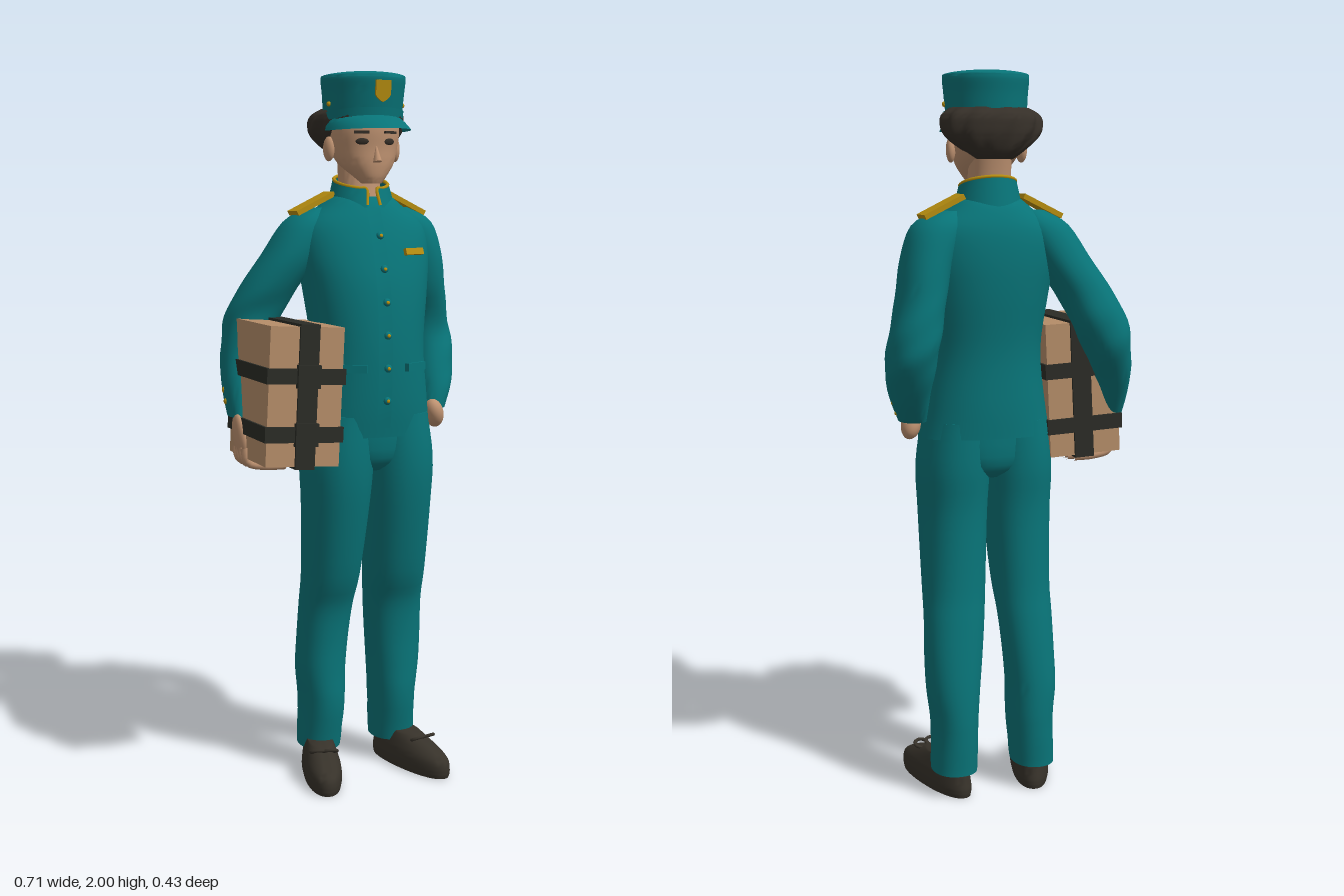
import * as THREE from 'three';
import { mergeVertices, toCreasedNormals } from 'three/addons/utils/BufferGeometryUtils.js';

const mat = (name, color, side = THREE.FrontSide) => {
  const m = new THREE.MeshStandardMaterial({ color, side });
  m.name = name;
  return m;
};

// Grid of points (u around, v up) turned into a smooth surface
function surface(nu, nv, f, crease = 1) {
  const pos = [], idx = [];
  for (let i = 0; i <= nu; i++) for (let j = 0; j <= nv; j++) pos.push(...f(i, j));
  for (let i = 0; i < nu; i++) for (let j = 0; j < nv; j++) {
    const a = i * (nv + 1) + j, c = a + nv + 1;
    idx.push(a, a + 1, c, c, a + 1, c + 1);
  }
  const g = new THREE.BufferGeometry();
  g.setAttribute('position', new THREE.Float32BufferAttribute(pos, 3));
  g.setIndex(idx);
  return toCreasedNormals(mergeVertices(g, 1e-5), crease);
}

// Ring = [y, xMin, xMax, zMin, zMax, slope]; smooth interpolation between rings
function ringAt(rings, t) {
  const s = t * (rings.length - 1), i = Math.min(Math.floor(s), rings.length - 2), f = s - i;
  const p = k => rings[Math.max(0, Math.min(rings.length - 1, k))];
  return [0, 1, 2, 3, 4, 5].map(c => {
    const [a, b, d, e] = [p(i - 1), p(i), p(i + 1), p(i + 2)].map(r => r[c] ?? 0);
    return b + 0.5 * f * (d - a + f * (2 * a - 5 * b + 4 * d - e + f * (3 * (b - d) + e - a)));
  });
}

function loft(rings, { pow = 2.2, n = 36, fold = () => 0 } = {}) {
  const nv = (rings.length - 1) * 4;
  const e = v => Math.sign(v) * Math.abs(v) ** (2 / pow);
  return surface(n, nv + 2, (i, j) => {
    const [y, x0, x1, z0, z1, s] = ringAt(rings, Math.max(0, Math.min(nv, j - 1)) / nv);
    const a = (i % n) / n * Math.PI * 2;
    const k = j === 0 || j === nv + 2 ? 0 : 1 + fold(a, y);
    const dz = k * (z1 - z0) / 2 * e(Math.sin(a));
    return [(x0 + x1) / 2 + k * (x1 - x0) / 2 * e(Math.cos(a)), y + s * dz, (z0 + z1) / 2 + dz];
  });
}

// Front surface depth of a loft at (x, y)
function frontZ(rings, x, y, pow = 2.2) {
  let lo = 0, hi = 1;
  for (let i = 0; i < 24; i++) {
    const m = (lo + hi) / 2;
    if (ringAt(rings, m)[0] < y) lo = m; else hi = m;
  }
  const [, x0, x1, z0, z1] = ringAt(rings, lo);
  const q = Math.min(1, Math.abs((x - (x0 + x1) / 2) / ((x1 - x0) / 2)));
  return (z0 + z1) / 2 + (z1 - z0) / 2 * (1 - q ** pow) ** (1 / pow);
}

export function createModel() {
  const root = new THREE.Group();
  root.name = 'uniformedCourier';
  const teal = mat('teal cloth', 0x087478, THREE.DoubleSide), gold = mat('gold', 0xb88f10);
  const skin = mat('skin', 0xbd9170), dark = mat('dark hair', 0x352f28);
  const leather = mat('shoe leather', 0x37322a), strap = mat('strap', 0x2b2c26);
  const card = mat('parcel paper', 0xb58d69);
  const CX = 0.048;

  const add = (name, g, m, p = [0, 0, 0], r = [0, 0, 0], s = [1, 1, 1], parent = root) => {
    const o = new THREE.Mesh(g, m);
    o.name = name;
    o.position.set(...p); o.rotation.set(...r); o.scale.set(...s);
    parent.add(o);
    return o;
  };
  const ball = new THREE.SphereGeometry(1, 20, 14);
  const box = (x, y, z) => new THREE.BoxGeometry(x, y, z);
  // Lay a part on the front of a lofted body
  const onFront = (rings, x, y, o, lift = 0) => {
    const d = 0.01, z = frontZ(rings, x, y);
    const nx = (frontZ(rings, x - d, y) - frontZ(rings, x + d, y)) / (2 * d);
    const ny = (frontZ(rings, x, y - d) - frontZ(rings, x, y + d)) / (2 * d);
    o.position.set(x, y, z + lift);
    o.lookAt(x + nx, y + ny, z + lift + 1);
  };

  // Trousers
  const creases = (a, y) => 0.02 * Math.sin(y * 75 + 2 * Math.sin(a)) * Math.max(0, 1 - y / 0.26);
  add('rightTrouserLeg', loft([[0.07, -0.128, -0.008, -0.175, -0.025], [0.2, -0.125, 0, -0.182, 0],
    [0.3, -0.134, 0.002, -0.18, 0.001], [0.4, -0.132, 0.01, -0.17, 0.002], [0.5, -0.13, 0.02, -0.157, 0.015],
    [0.6, -0.13, 0.03, -0.145, 0.055], [0.8, -0.137, 0.045, -0.138, 0.1], [0.93, -0.14, 0.055, -0.15, 0.115],
    [1.06, -0.12, 0.06, -0.15, 0.11]], { fold: creases }), teal);
  add('leftTrouserLeg', loft([[0.07, 0.1, 0.228, -0.175, -0.025], [0.2, 0.097, 0.224, -0.182, 0],
    [0.3, 0.09, 0.236, -0.18, 0.001], [0.4, 0.08, 0.24, -0.17, 0.002], [0.5, 0.07, 0.237, -0.157, 0.015],
    [0.6, 0.06, 0.234, -0.145, 0.055], [0.8, 0.048, 0.235, -0.138, 0.1], [0.93, 0.04, 0.238, -0.15, 0.115],
    [1.06, 0.035, 0.22, -0.15, 0.11]], { fold: creases }), teal);
  add('trouserSeat', loft([[0.9, 0, 0.1, -0.1, 0.06], [0.94, -0.08, 0.18, -0.145, 0.1],
    [1.05, -0.12, 0.215, -0.15, 0.11]]), teal);

  // Shoes, toes turned out
  const shoeGeo = loft([[0, -0.05, 0.05, -0.163, 0.16], [0.02, -0.054, 0.054, -0.166, 0.164],
    [0.05, -0.052, 0.052, -0.16, 0.155], [0.075, -0.045, 0.045, -0.155, 0.105], [0.1, -0.037, 0.037, -0.145, 0.03]]);
  for (const [side, x, turn] of [['right', -0.095, -0.25], ['left', 0.188, 0.25]]) {
    const shoe = new THREE.Group();
    shoe.name = side + 'Shoe';
    shoe.position.set(x, 0, -0.003);
    shoe.rotation.y = turn;
    root.add(shoe);
    add('upper', shoeGeo, leather, [0, 0, 0], [0, 0, 0], [1, 1, 1], shoe);
    for (const s of [-1, 1])
      add('laceLoop', new THREE.TorusGeometry(0.016, 0.005, 6, 14), leather, [s * 0.018, 0.095, 0.055], [1.1, 0, 0], [1.2, 1, 1], shoe);
  }

  // Jacket
  const torso = [[1.01, -0.137, 0.235, -0.168, 0.117, -0.06], [1.1, -0.122, 0.222, -0.17, 0.13],
    [1.25, -0.108, 0.208, -0.168, 0.135], [1.4, -0.125, 0.225, -0.185, 0.122], [1.5, -0.14, 0.238, -0.19, 0.097],
    [1.58, -0.13, 0.227, -0.182, 0.068], [1.635, -0.07, 0.165, -0.16, 0.04], [1.66, -0.04, 0.135, -0.14, 0.02]];
  add('jacketBody', loft(torso, { n: 48 }), teal);
  add('jacketPlacket', surface(1, 20, (i, j) => {
    const x = 0.062 - i * 0.04, y = 1.03 + j * 0.03;
    return [x, y, frontZ(torso, x, y) + 0.004];
  }), teal);
  for (let i = 0; i < 6; i++) {
    const y = 1.105 + i * 0.09;
    onFront(torso, CX, y, add('jacketButton', ball, teal, [0, 0, 0], [0, 0, 0], [0.011, 0.011, 0.008]), 0.005);
    onFront(torso, CX, y, add('buttonCentre', ball, gold, [0, 0, 0], [0, 0, 0], [0.005, 0.005, 0.003]), 0.012);
  }
  for (const s of [-1, 1])
    onFront(torso, CX + s * 0.093, 1.195, add('pocketFlap', box(0.08, 0.022, 0.012), teal), 0.002);
  onFront(torso, 0.15, 1.51, add('chestBar', box(0.07, 0.018, 0.01), gold), 0.004);

  // Sleeves
  const sleeveFold = (a, y) => 0.025 * Math.sin(y * 55 + 3 * a) * Math.exp(-(((y - 1.25) / 0.13) ** 2));
  add('leftSleeve', loft([[1.06, 0.222, 0.296, -0.085, 0.015], [1.13, 0.222, 0.328, -0.14, 0.005],
    [1.22, 0.217, 0.35, -0.195, -0.025], [1.3, 0.205, 0.342, -0.208, -0.04], [1.4, 0.185, 0.316, -0.195, -0.005],
    [1.5, 0.16, 0.298, -0.18, 0.01], [1.59, 0.12, 0.266, -0.158, 0], [1.63, 0.13, 0.198, -0.12, -0.04]], { fold: sleeveFold }), teal);
  add('rightSleeve', loft([[1.06, -0.348, -0.288, -0.1, 0], [1.15, -0.352, -0.262, -0.155, -0.02],
    [1.25, -0.338, -0.21, -0.208, -0.05], [1.33, -0.325, -0.17, -0.216, -0.05], [1.41, -0.288, -0.13, -0.2, -0.02],
    [1.5, -0.23, -0.07, -0.182, 0.005], [1.59, -0.17, -0.025, -0.158, 0], [1.63, -0.102, -0.035, -0.12, -0.04]], { fold: sleeveFold }), teal);
  for (let i = 0; i < 2; i++) {
    add('rightCuffButton', ball, gold, [-0.35, 1.1 + i * 0.03, -0.07 - i * 0.015], [0, 0, 0], [0.006, 0.009, 0.009]);
    add('leftCuffButton', ball, gold, [0.304 + i * 0.012, 1.085 + i * 0.03, -0.045 - i * 0.01], [0, 0, 0], [0.008, 0.007, 0.007]);
  }

  // Epaulettes
  for (const s of [-1, 1])
    add('epaulette', box(0.122, 0.014, 0.076), gold, [CX + s * 0.138, 1.641, -0.081], [0, 0, -s * 0.46]);

  // Standing collar, open at the front, with gold trim
  const collar = (u, v) => {
    const a = Math.PI / 2 + 0.22 + u * (Math.PI * 2 - 0.44), r = 0.095 - 0.018 * v;
    return [CX + r * Math.cos(a), 1.63 + v * (0.072 - 0.02 * Math.sin(a)), -0.056 + (r + 0.007) * Math.sin(a)];
  };
  add('collar', surface(36, 4, (i, j) => collar(i / 36, j / 4)), teal);
  const trim = [collar(0, 0.1)];
  for (let i = 0; i <= 24; i++) trim.push(collar(i / 24, 0.98));
  trim.push(collar(1, 0.1));
  add('collarTrim', new THREE.TubeGeometry(new THREE.CatmullRomCurve3(
    trim.map(p => new THREE.Vector3(CX + (p[0] - CX) * 0.96, p[1], -0.056 + (p[2] + 0.056) * 0.96))), 90, 0.005, 6), gold);

  // Neck and head
  add('neck', loft([[1.62, -0.015, 0.11, -0.125, 0.005], [1.7, -0.01, 0.105, -0.125, -0.01], [1.8, -0.01, 0.105, -0.14, -0.02]]), skin);
  const head = [[1.695, 0.022, 0.076, -0.005, 0.044], [1.715, 0.004, 0.094, -0.04, 0.052], [1.75, -0.026, 0.124, -0.1, 0.056],
    [1.79, -0.042, 0.14, -0.14, 0.056], [1.84, -0.05, 0.148, -0.155, 0.06], [1.9, -0.045, 0.143, -0.155, 0.055]];
  add('face', loft(head), skin);
  add('nose', new THREE.ConeGeometry(0.015, 0.05, 12), skin, [CX, 1.778, 0.058], [-0.2, 0, 0], [0.8, 1, 1]);
  for (const s of [-1, 1]) {
    add('ear', ball, skin, [CX + s * 0.1, 1.79, -0.045], [0, -s * 0.3, 0], [0.013, 0.034, 0.02]);
    onFront(head, CX + s * 0.04, 1.808, add('eye', ball, dark, [0, 0, 0], [0, 0, 0], [0.018, 0.009, 0.004]));
    onFront(head, CX + s * 0.042, 1.833, add('eyebrow', box(0.042, 0.007, 0.008), dark));
  }
  const curls = (a, y) => 0.035 * Math.cos(11 * a + y * 40);
  add('hair', loft([[1.765, 0, 0.096, -0.15, -0.08], [1.785, -0.03, 0.126, -0.173, -0.05], [1.82, -0.073, 0.17, -0.186, -0.02],
    [1.85, -0.087, 0.184, -0.188, 0], [1.88, -0.082, 0.18, -0.182, 0.015], [1.9, -0.055, 0.155, -0.155, 0.015]],
  { fold: curls, n: 72 }), dark);
  add('fringe', loft([[1.848, -0.053, 0.151, -0.1, 0.062], [1.89, -0.05, 0.148, -0.1, 0.062]]), dark);

  // Cap with visor and badge
  const cap = [[1.868, -0.058, 0.156, -0.155, 0.064, 0.1], [1.89, -0.061, 0.158, -0.157, 0.068, 0.08],
    [1.94, -0.064, 0.162, -0.162, 0.077, 0.04], [1.98, -0.067, 0.165, -0.168, 0.083], [1.99, -0.058, 0.156, -0.16, 0.075],
    [1.997, -0.015, 0.113, -0.115, 0.03], [2, 0.03, 0.065, -0.06, -0.03]];
  add('capCrown', loft(cap, { pow: 2, n: 48 }), teal);
  add('capBand', loft([[1.866, -0.062, 0.16, -0.159, 0.068, 0.1], [1.888, -0.064, 0.162, -0.161, 0.071, 0.1]], { pow: 2 }), teal);
  add('visor', surface(28, 6, (i, j) => {
    const a = (i / 28 * 2 - 1) * 1.5, v = j / 6, c = Math.cos(a);
    return [CX + (0.106 + 0.011 * v) * Math.sin(a), 1.866 + 0.014 * c - v * (0.028 + 0.012 * c) + 0.012 * v * (1 - v), -0.046 + (0.108 + 0.098 * v) * c];
  }), teal);
  const shield = new THREE.Shape();
  shield.moveTo(-0.022, 0.028);
  shield.lineTo(0.022, 0.028);
  shield.lineTo(0.022, -0.01);
  shield.quadraticCurveTo(0.018, -0.022, 0, -0.03);
  shield.quadraticCurveTo(-0.018, -0.022, -0.022, -0.01);
  add('capBadge', new THREE.ExtrudeGeometry(shield, { depth: 0.008, bevelEnabled: false }), gold, [0.056, 1.943, 0.077], [0.12, 0, 0]);
  for (const s of [-1, 1]) add('capStud', ball, gold, [CX + s * 0.11, 1.91, -0.02], [0, 0, 0], [0.006, 0.007, 0.007]);

  // Hands
  add('leftHand', ball, skin, [0.252, 1.045, 0.002], [0.5, 0, 0.3], [0.028, 0.045, 0.034]);
  add('rightPalm', ball, skin, [-0.328, 1.0, -0.005], [-0.3, 0, 0.1], [0.018, 0.075, 0.042]);
  for (let i = 0; i < 4; i++) {
    const z = -0.03 + i * 0.024;
    const path = [[-0.335, 0.985], [-0.325, 0.945], [-0.28, 0.932], [-0.2 - 0.012 * Math.abs(i - 1.5), 0.93]];
    add('rightFinger', new THREE.TubeGeometry(new THREE.CatmullRomCurve3(
      path.map(p => new THREE.Vector3(p[0], p[1], z))), 12, 0.012, 8), skin);
  }

  // Strapped parcel under the right arm
  const parcel = new THREE.Group();
  parcel.name = 'parcel';
  parcel.position.set(-0.217, 1.136, 0.049);
  parcel.rotation.z = -0.05;
  root.add(parcel);
  const part = (name, size, m, p = [0, 0, 0]) => add(name, box(...size), m, p, [0, 0, 0], [1, 1, 1], parcel);
  part('carton', [0.208, 0.372, 0.3], card);
  part('uprightStrap', [0.055, 0.386, 0.314], strap, [0.005, 0, 0]);
  for (const y of [0.055, -0.1]) {
    part('levelStrap', [0.222, 0.042, 0.314], strap, [0, y, 0]);
    part('buckle', [0.064, 0.062, 0.016], strap, [0.005, y, 0.158]);
  }
  return root;
}
